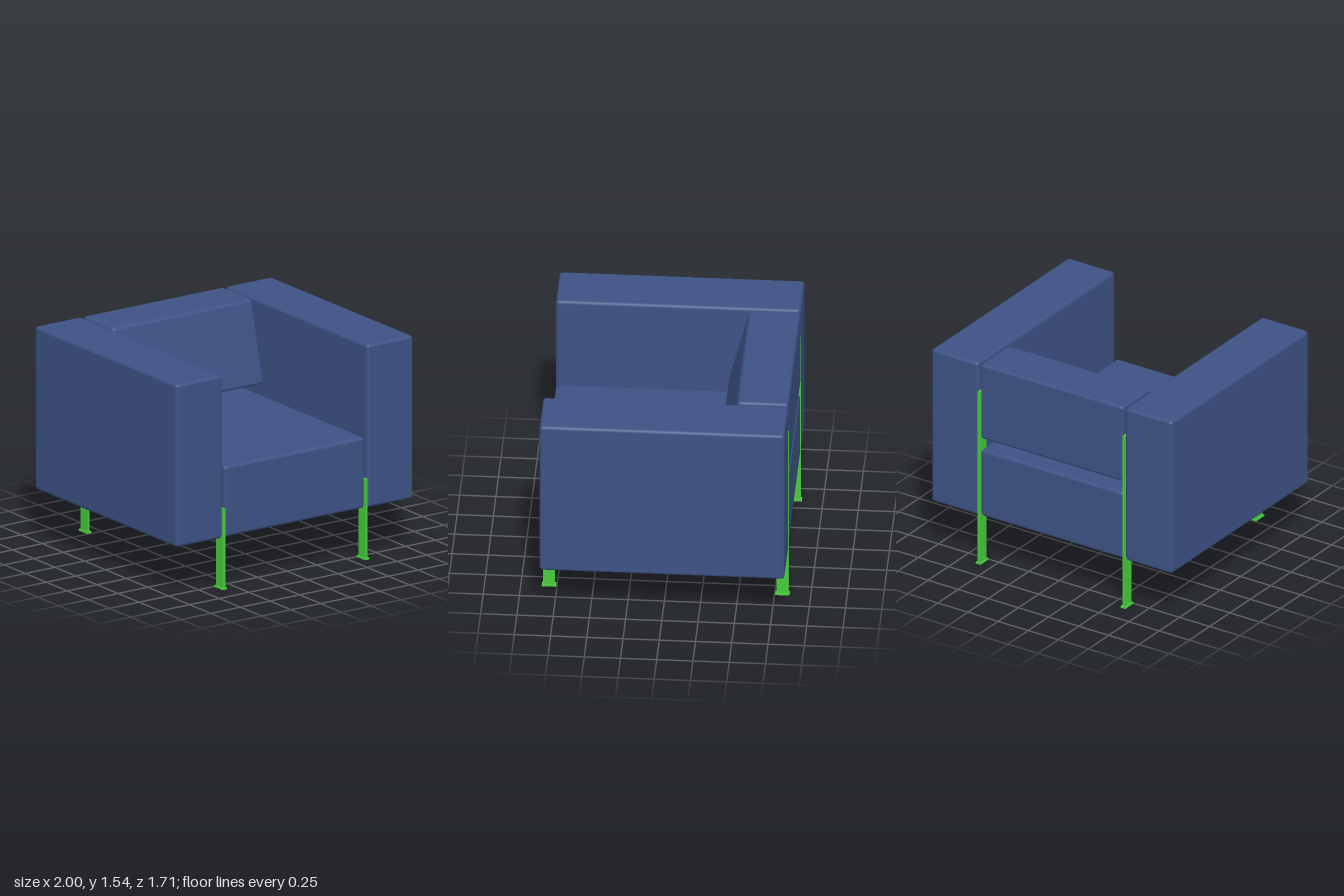
import * as THREE from 'three';
import { RoundedBoxGeometry } from 'three/addons/geometries/RoundedBoxGeometry.js';
import { mergeVertices } from 'three/addons/utils/BufferGeometryUtils.js';

const fabric = new THREE.MeshStandardMaterial({ color: 0x3d5285 });
const metal = new THREE.MeshStandardMaterial({ color: 0x48cc3c });

// Place a geometry so that it fills the range min..max
function add(parent, name, geometry, material, min, max) {
  const mesh = new THREE.Mesh(geometry, material);
  mesh.name = name;
  mesh.position.set(...min.map((v, i) => (v + max[i]) / 2));
  parent.add(mesh);
  return mesh;
}
const size = (min, max) => max.map((v, i) => v - min[i]);

const cushion = (parent, name, min, max) =>
  add(parent, name, new RoundedBoxGeometry(...size(min, max), 4, 0.025), fabric, min, max);
const bar = (parent, name, min, max) =>
  add(parent, name, new THREE.BoxGeometry(...size(min, max)), metal, min, max);

export function createModel() {
  const chair = new THREE.Group();
  chair.name = 'armchair';

  cushion(chair, 'seatCushion', [-0.592, 0.37, -0.842], [0.592, 0.882, 0.842]);

  // Backrest: the front half leans back towards the top
  const back = cushion(chair, 'backrest', [-0.592, 0.965, -0.845], [0.592, 1.543, -0.42]);
  const p = back.geometry.attributes.position;
  for (let i = 0; i < p.count; i++) {
    if (p.getZ(i) > 0) p.setZ(i, p.getZ(i) - 0.25 * p.getY(i));
  }
  back.geometry.deleteAttribute('normal');
  back.geometry.deleteAttribute('uv');
  back.geometry = mergeVertices(back.geometry, 1e-4);
  back.geometry.computeVertexNormals();

  for (const [side, s] of [['left', 1], ['right', -1]]) {
    const xs = (a, b) => (s > 0 ? [a, b] : [-b, -a]);

    const [a0, a1] = xs(0.61, 1);
    cushion(chair, side + 'Armrest', [a0, 0.368, -0.845], [a1, 1.543, 0.845]);

    // Flat steel frame running in the gap between armrest and seat
    const frame = new THREE.Group();
    frame.name = side + 'Frame';
    chair.add(frame);
    const [x0, x1] = xs(0.592, 0.61);
    const [f0, f1] = xs(0.581, 0.621);
    bar(frame, 'frontLeg', [x0, 0.01, 0.765], [x1, 0.58, 0.848]);
    bar(frame, 'backLeg', [x0, 0.01, -0.848], [x1, 1.325, -0.765]);
    bar(frame, 'sideRail', [x0, 0.5, -0.765], [x1, 0.58, 0.765]);
    bar(frame, 'frontFoot', [f0, 0, 0.755], [f1, 0.012, 0.855]);
    bar(frame, 'backFoot', [f0, 0, -0.855], [f1, 0.012, -0.755]);
  }
  return chair;
}
